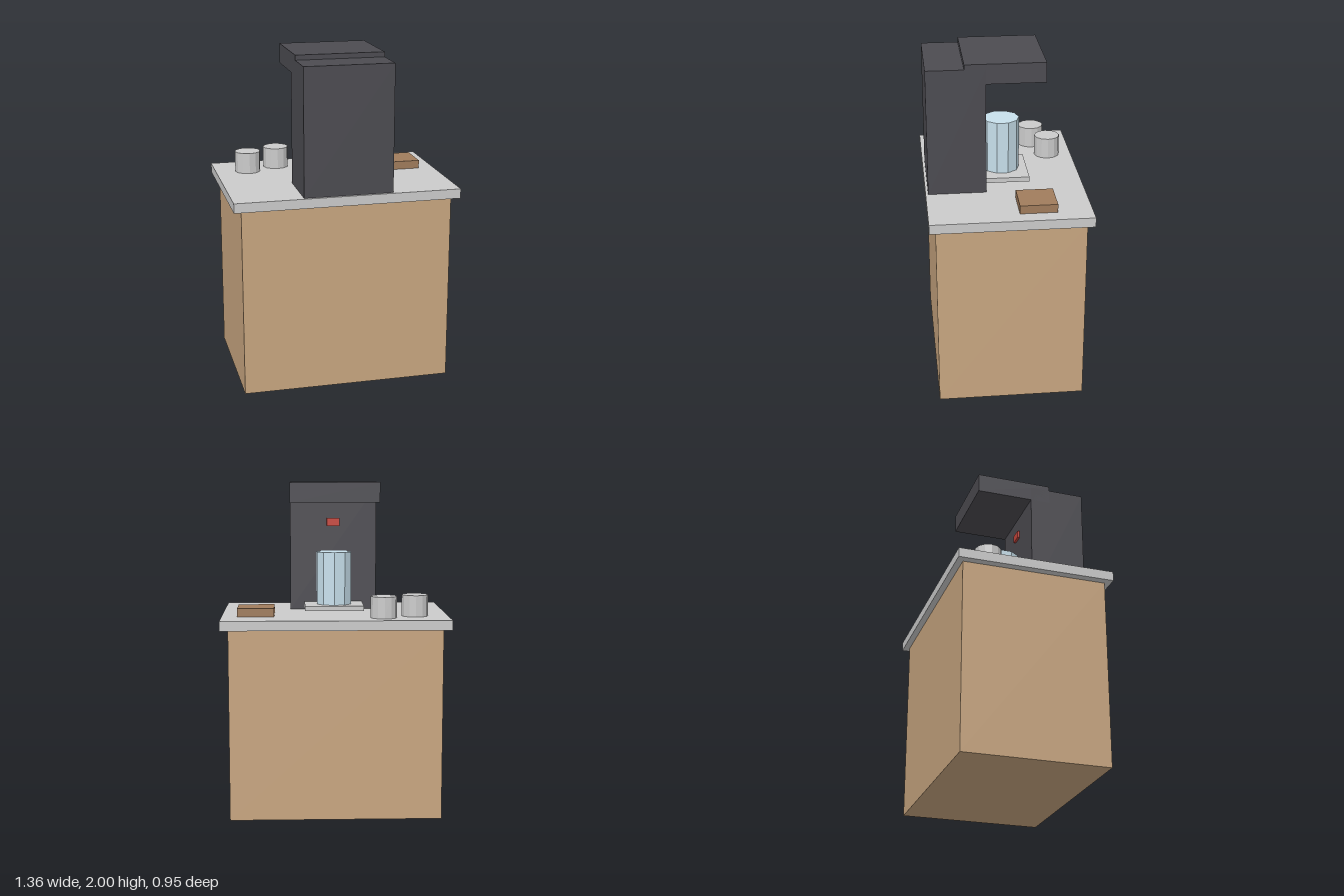
import * as THREE from 'three';

const material = (color) => new THREE.MeshStandardMaterial({ color, flatShading: true });

export function createModel() {
  const model = new THREE.Group();
  model.name = 'coffeeStation';

  const grey = material(0xcccccc);
  const wood = material(0xc8a680);
  const darkWood = material(0xa07c5c);
  const charcoal = material(0x4c4b51);
  const glass = material(0xc8e0ec);
  const red = material(0xc8463c);

  // Box given by its min and max on each axis
  const box = (name, mat, [x0, x1], [y0, y1], [z0, z1]) => {
    const mesh = new THREE.Mesh(new THREE.BoxGeometry(x1 - x0, y1 - y0, z1 - z0), mat);
    mesh.position.set((x0 + x1) / 2, (y0 + y1) / 2, (z0 + z1) / 2);
    mesh.name = name;
    model.add(mesh);
  };

  // Upright faceted cylinder
  const cylinder = (name, mat, radius, sides, x, z, [y0, y1]) => {
    const mesh = new THREE.Mesh(new THREE.CylinderGeometry(radius, radius, y1 - y0, sides), mat);
    mesh.position.set(x, (y0 + y1) / 2, z);
    mesh.name = name;
    model.add(mesh);
  };

  const top = 1.205; // counter surface

  // Cabinet and overhanging counter
  box('cabinet', wood, [-0.633, 0.633], [0, 1.147], [-0.437, 0.437]);
  box('countertop', grey, [-0.68, 0.68], [1.147, top], [-0.475, 0.475]);

  // Coffee machine
  box('machineBody', charcoal, [-0.268, 0.268], [top, 1.97], [0.113, 0.46]);
  box('machineHead', charcoal, [-0.268, 0.268], [1.88, 2], [-0.237, 0.237]);
  box('machineButton', red, [-0.04, 0.04], [1.728, 1.775], [0.098, 0.13]);
  box('dripTray', grey, [-0.18, 0.18], [1.224, 1.253], [-0.155, 0.155]);
  cylinder('jug', glass, 0.11, 10, 0, 0, [1.253, 1.575]);

  // Items on the counter
  cylinder('rightCup', grey, 0.079, 12, -0.48, -0.24, [top, 1.333]);
  cylinder('backCup', grey, 0.079, 12, -0.287, -0.322, [top, 1.333]);
  box('woodenBoard', darkWood, [0.365, 0.585], [top, 1.255], [-0.27, -0.05]);

  return model;
}
